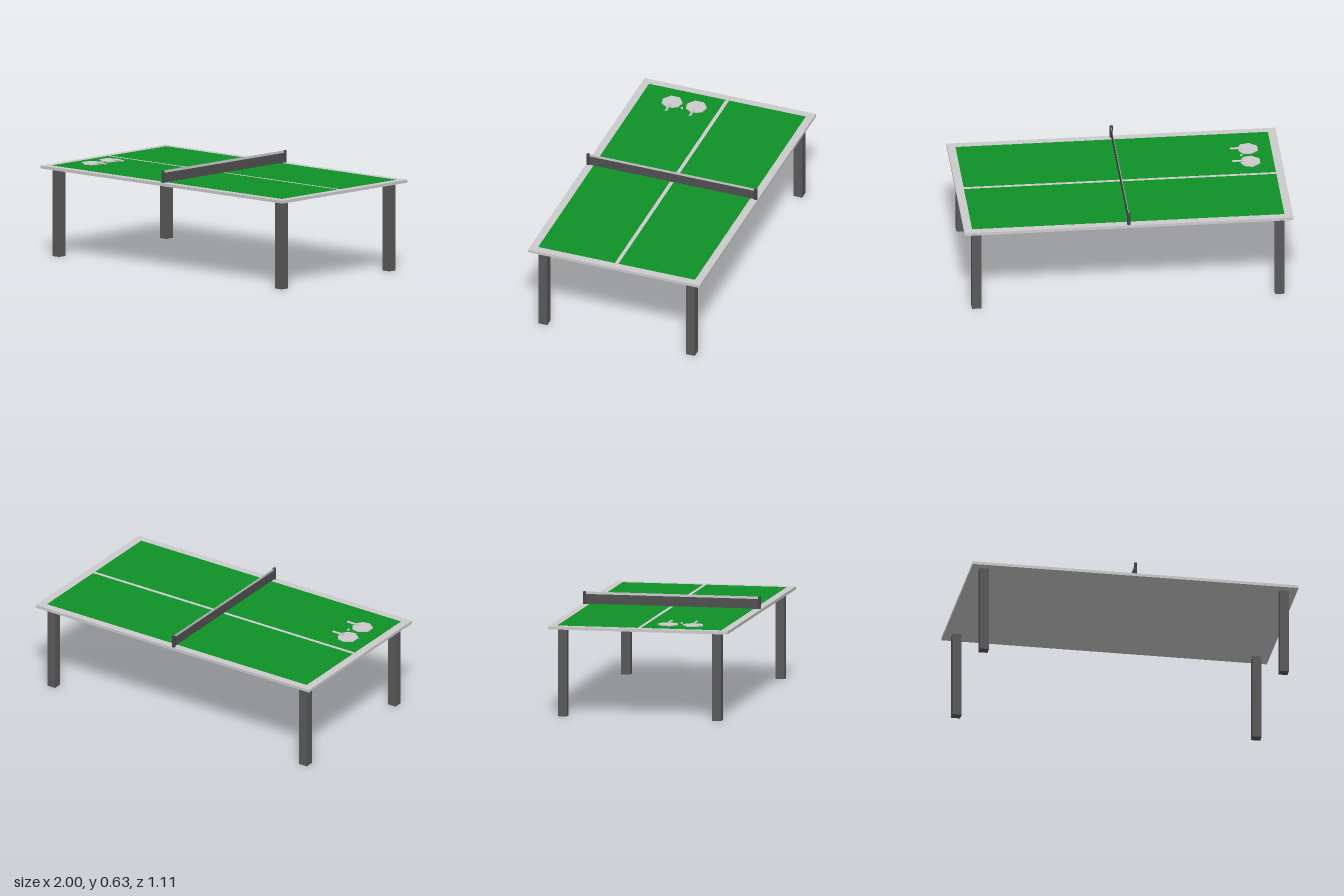
import * as THREE from 'three';

const mat = (color, extra = {}) => new THREE.MeshStandardMaterial({ color, ...extra });

export function createModel() {
  const model = new THREE.Group();
  const light = mat(0xcccccc);
  const dark = mat(0x595959);
  const green = mat(0x0f9128);
  const netMat = mat(0x4f4f4f);
  const top = 0.555;

  const add = (name, geometry, material, x, y, z, parent = model) => {
    const mesh = new THREE.Mesh(geometry, material);
    mesh.name = name;
    mesh.position.set(x, y, z);
    parent.add(mesh);
    return mesh;
  };

  // Table board; its border and centre line show between the green courts
  add('tableTop', new THREE.BoxGeometry(2, 0.018, 1.11), light, 0, top - 0.009, 0);
  for (const s of [-1, 1]) {
    add('court', new THREE.BoxGeometry(1.9, 0.002, 0.495), green, 0, top, s * 0.2595);
  }

  // Square legs
  for (const sx of [-1, 1]) {
    for (const sz of [-1, 1]) {
      add('leg', new THREE.BoxGeometry(0.056, 0.537, 0.056), dark, sx * 0.922, 0.2685, sz * 0.477);
    }
  }

  // Net with light top band, held by two round posts
  const net = new THREE.Group();
  net.name = 'net';
  model.add(net);
  add('mesh', new THREE.BoxGeometry(0.002, 0.06, 1.07), netMat, 0, top + 0.03, 0, net);
  add('topBand', new THREE.BoxGeometry(0.002, 0.015, 1.07), light, 0, top + 0.0675, 0, net);
  for (const s of [-1, 1]) {
    add('post', new THREE.CylinderGeometry(0.01, 0.01, 0.075, 12), mat(0x45454d), 0, top + 0.0375, s * 0.542, net);
  }

  // Faceted blade outline: half profile mirrored about the handle axis
  const half = [[-0.056, 0.028], [-0.008, 0.064], [0.04, 0.054], [0.061, 0.02]];
  const outline = [...half, ...half.map(([x, y]) => [x, -y]).reverse()];
  const bladeShape = new THREE.Shape(outline.map(([x, y]) => new THREE.Vector2(x, y)));
  const bladeGeo = new THREE.ExtrudeGeometry(bladeShape, { depth: 0.006, bevelEnabled: false });
  bladeGeo.rotateX(-Math.PI / 2);
  const handleGeo = new THREE.CylinderGeometry(0.008, 0.008, 0.075, 8);
  handleGeo.rotateZ(Math.PI / 2).scale(1, 0.75, 1);

  // Two paddles lying on the court
  for (const z of [0.147, 0.303]) {
    const paddle = new THREE.Group();
    paddle.name = 'paddle';
    paddle.position.set(-0.81, top + 0.001, z);
    model.add(paddle);
    add('blade', bladeGeo, light, 0, 0.002, 0, paddle);
    add('handle', handleGeo, light, 0.075, 0.012, 0, paddle);
  }

  // Ball between the paddles
  add('ball', new THREE.SphereGeometry(0.008, 12, 8), light, -0.76, top + 0.009, 0.222);

  return model;
}
